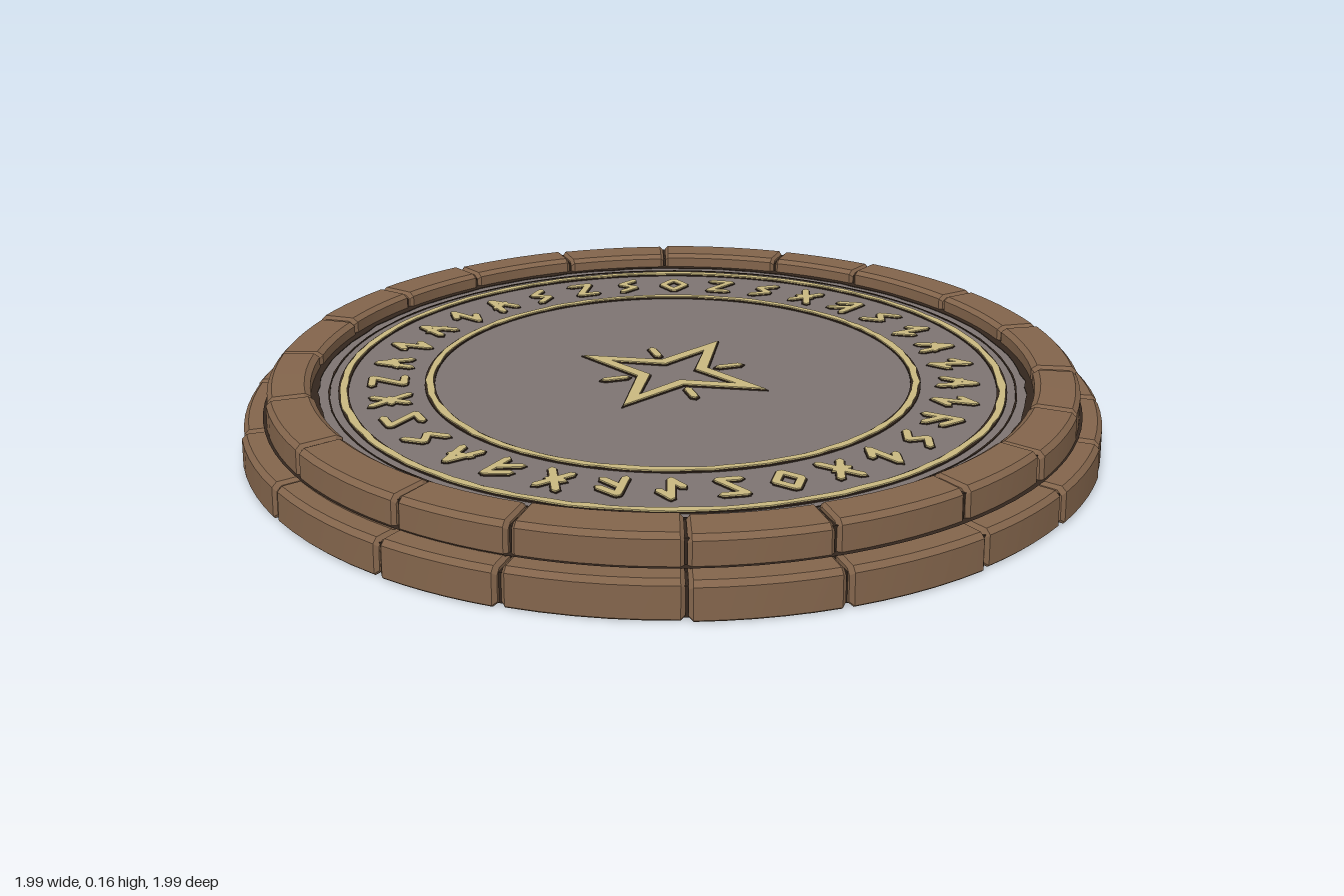
import * as THREE from 'three';
import { mergeGeometries, toCreasedNormals } from 'three/addons/utils/BufferGeometryUtils.js';

const RAD = Math.PI / 180;
const SLAB_Y = 0.12;

const material = (name, color) => {
  const m = new THREE.MeshStandardMaterial({ color });
  m.name = name;
  return m;
};

function seeded(seed) {
  return () => {
    seed = (seed * 16807) % 2147483647;
    return seed / 2147483647;
  };
}

// Curved stone block: a chamfered section swept from angle a0 to a1, pinched at both ends.
function blockGeometry(a0, a1, r0, r1, y0, y1) {
  const c = 0.013, b = 0.004;
  const profile = [
    [r0, y0], [r1 - b, y0], [r1, y0 + b], [r1 - 0.002, y1 - c],
    [r1 - c, y1 - 0.002], [r0 + c, y1], [r0, y1 - c * 0.7],
  ];
  const rc = (r0 + r1) / 2, yc = (y0 + y1) / 2, pinch = 0.007;
  const angles = [a0];
  for (let k = 0; k <= 5; k++) angles.push(a0 + 0.009 + (a1 - a0 - 0.018) * k / 5);
  angles.push(a1);
  const sections = angles.map((a, s) => {
    const p = s === 0 || s === angles.length - 1 ? pinch : 0;
    return profile.map(([r, y]) => {
      const rr = r - Math.sign(r - rc) * p, yy = y - Math.sign(y - yc) * p;
      return [rr * Math.sin(a), yy, rr * Math.cos(a)];
    });
  });
  const pos = [];
  const tri = (...pts) => pts.forEach((p) => pos.push(...p));
  const n = profile.length, last = sections.length - 1;
  for (let s = 0; s < last; s++) {
    for (let i = 0; i < n; i++) {
      const j = (i + 1) % n, A = sections[s], B = sections[s + 1];
      tri(A[i], B[i], B[j]);
      tri(A[i], B[j], A[j]);
    }
  }
  for (let i = 1; i < n - 1; i++) {
    tri(sections[0][0], sections[0][i], sections[0][i + 1]);
    tri(sections[last][0], sections[last][i + 1], sections[last][i]);
  }
  const g = new THREE.BufferGeometry();
  g.setAttribute('position', new THREE.Float32BufferAttribute(pos, 3));
  return toCreasedNormals(g, 0.35);
}

// Flat ring outline, optionally with slightly chipped edges.
function ringShape(r0, r1, chip = 0, rand = () => 0.5) {
  const loop = (r) => Array.from({ length: 120 }, (_, i) => {
    const a = i * 3 * RAD, q = r + (rand() - 0.5) * chip;
    return new THREE.Vector2(q * Math.cos(a), q * Math.sin(a));
  });
  const s = new THREE.Shape(loop(r1));
  s.holes.push(new THREE.Path(loop(r0)));
  return s;
}

// Straight chisel stroke with tapered ends.
function strokeShape(x0, y0, x1, y1, w, place = (x, y) => [x, y]) {
  const l = Math.hypot(x1 - x0, y1 - y0), ux = (x1 - x0) / l, uy = (y1 - y0) / l, h = w / 2;
  const pts = [[-h, 0], [0, h], [l, h], [l + h, 0], [l, -h], [0, -h]];
  return new THREE.Shape(pts.map(([u, v]) =>
    new THREE.Vector2(...place(x0 + ux * u - uy * v, y0 + uy * u + ux * v))));
}

function starPoints(tip, waist) {
  return Array.from({ length: 8 }, (_, i) => {
    const r = i % 2 ? waist : tip, a = i * 45 * RAD;
    return new THREE.Vector2(r * Math.cos(a), r * Math.sin(a));
  });
}

function starShape(grow) {
  const s = new THREE.Shape(starPoints(0.24 + grow * 2, 0.086 + grow));
  s.holes.push(new THREE.Path(starPoints(0.165 - grow * 2, 0.056 - grow)));
  return s;
}

// Lay flat shapes on the slab as a thin plate.
function plate(shapes, depth) {
  return new THREE.ExtrudeGeometry(shapes, { depth, bevelEnabled: false })
    .rotateX(-Math.PI / 2).translate(0, SLAB_Y, 0);
}

// Abstract chisel patterns: strokes as x0, y0, x1, y1 in a unit cell.
const PATTERNS = [
  [[-0.6, -1, 0.6, 1], [-0.6, 0.8, 0.6, -0.8], [-0.3, 0, 0.5, 0]],
  [[-0.5, 0.9, 0.4, 0.3], [0.4, 0.3, -0.4, -0.3], [-0.4, -0.3, 0.5, -0.9]],
  [[0, -1, 0, 1], [-0.6, 0.2, 0, 0.9], [0, -0.9, 0.6, -0.2]],
  [[-0.7, 0, 0, 0.9], [0, 0.9, 0.7, 0], [0.7, 0, 0, -0.9], [0, -0.9, -0.7, 0]],
  [[-0.5, -1, -0.5, 0.8], [-0.5, 0.8, 0.6, 0.2], [-0.5, 0, 0.6, -0.7]],
  [[-0.6, 0.8, 0.6, 0.8], [0.6, 0.8, -0.5, -0.8], [-0.5, -0.8, 0.6, -0.8]],
  [[-0.6, -0.9, -0.1, 0.9], [-0.1, 0.9, 0.6, -0.7], [-0.6, -0.2, 0.4, 0.2]],
];

export function createModel() {
  const stone = material('brown stone', 0x82644b);
  const joint = material('dark joint', 0x33261d);
  const slate = material('grey slate', 0x7d7471);
  const gold = material('pale gold', 0xc9b87f);
  const group = new THREE.Group();
  const rand = seeded(417);
  const add = (name, geometry, mat) => {
    const mesh = new THREE.Mesh(geometry, mat);
    mesh.name = name;
    group.add(mesh);
    return mesh;
  };

  // Two stepped courses of blocks sharing the same joints
  const joints = [8, 29, 47, 66, 82]
    .flatMap((t) => [t, 180 - t, 180 + t, 360 - t]).sort((a, b) => a - b);
  const course = (name, r0, r1, y0, y1, gap) => {
    const blocks = joints.map((t, i) => {
      const next = i + 1 < joints.length ? joints[i + 1] : joints[0] + 360;
      return blockGeometry(t * RAD + gap, next * RAD - gap,
        r0 + rand() * 0.006, r1 - rand() * 0.008, y0, y1 - rand() * 0.006);
    });
    add(name, mergeGeometries(blocks), stone);
  };
  course('lowerBlocks', 0.88, 1.0, 0, 0.087, 0.003);
  course('upperBlocks', 0.832, 0.943, 0.075, 0.158, 0.003);

  // Dark mortar core seen through the joints
  const core = [[0.8, 0.004], [0.984, 0.004], [0.984, 0.07], [0.928, 0.07],
    [0.928, 0.142], [0.846, 0.142], [0.846, 0.1]].map(([r, y]) => new THREE.Vector2(r, y));
  add('mortarCore', toCreasedNormals(new THREE.LatheGeometry(core, 96), 0.5), joint);
  add('ledgeShadowLine', new THREE.RingGeometry(0.93, 0.947, 96)
    .rotateX(-Math.PI / 2).translate(0, 0.0875, 0), joint);

  // Underside and slate floor
  add('underside', new THREE.CircleGeometry(0.9, 96).rotateX(Math.PI / 2), stone);
  add('slateFloor', new THREE.CircleGeometry(0.85, 96)
    .rotateX(-Math.PI / 2).translate(0, SLAB_Y, 0), slate);
  add('floorEdgeLine', plate([ringShape(0.819, 0.845, 0.007, rand), ringShape(0.794, 0.798, 0.002, rand)], 0.002), joint);

  // Gold inlay, and a wider dark outline beneath it
  const inlay = [], outline = [];
  for (const r of [0.764, 0.567]) {
    inlay.push(ringShape(r - 0.008, r + 0.008, 0.005, rand));
    outline.push(ringShape(r - 0.012, r + 0.012));
  }
  inlay.push(starShape(0));
  outline.push(starShape(0.004));
  for (let i = 0; i < 4; i++) {
    const a = (45 + i * 90) * RAD, c = Math.cos(a), s = Math.sin(a);
    inlay.push(strokeShape(c * 0.115, s * 0.115, c * 0.165, s * 0.165, 0.017));
    outline.push(strokeShape(c * 0.112, s * 0.112, c * 0.168, s * 0.168, 0.024));
  }
  add('goldInlay', plate(inlay, 0.006), gold);
  add('inlayOutline', plate(outline, 0.003), joint);

  // Band of abstract chisel marks
  const marks = [], markOutlines = [];
  const count = 34;
  for (let i = 0; i < count; i++) {
    const a = -i / count * Math.PI * 2 - 0.08, c = Math.cos(a), s = Math.sin(a);
    const place = (x, y) => [x * c - (y + 0.663) * s, x * s + (y + 0.663) * c];
    const flip = rand() < 0.5 ? -1 : 1;
    for (const [x0, y0, x1, y1] of PATTERNS[(i * 3 + Math.floor(rand() * 3)) % PATTERNS.length]) {
      const line = [x0 * 0.042 * flip, y0 * 0.046, x1 * 0.042 * flip, y1 * 0.046];
      marks.push(strokeShape(...line, 0.017, place));
      markOutlines.push(strokeShape(...line, 0.023, place));
    }
  }
  add('chiselMarks', plate(marks, 0.0055), gold);
  add('chiselMarkOutlines', plate(markOutlines, 0.0025), joint);

  return group;
}
